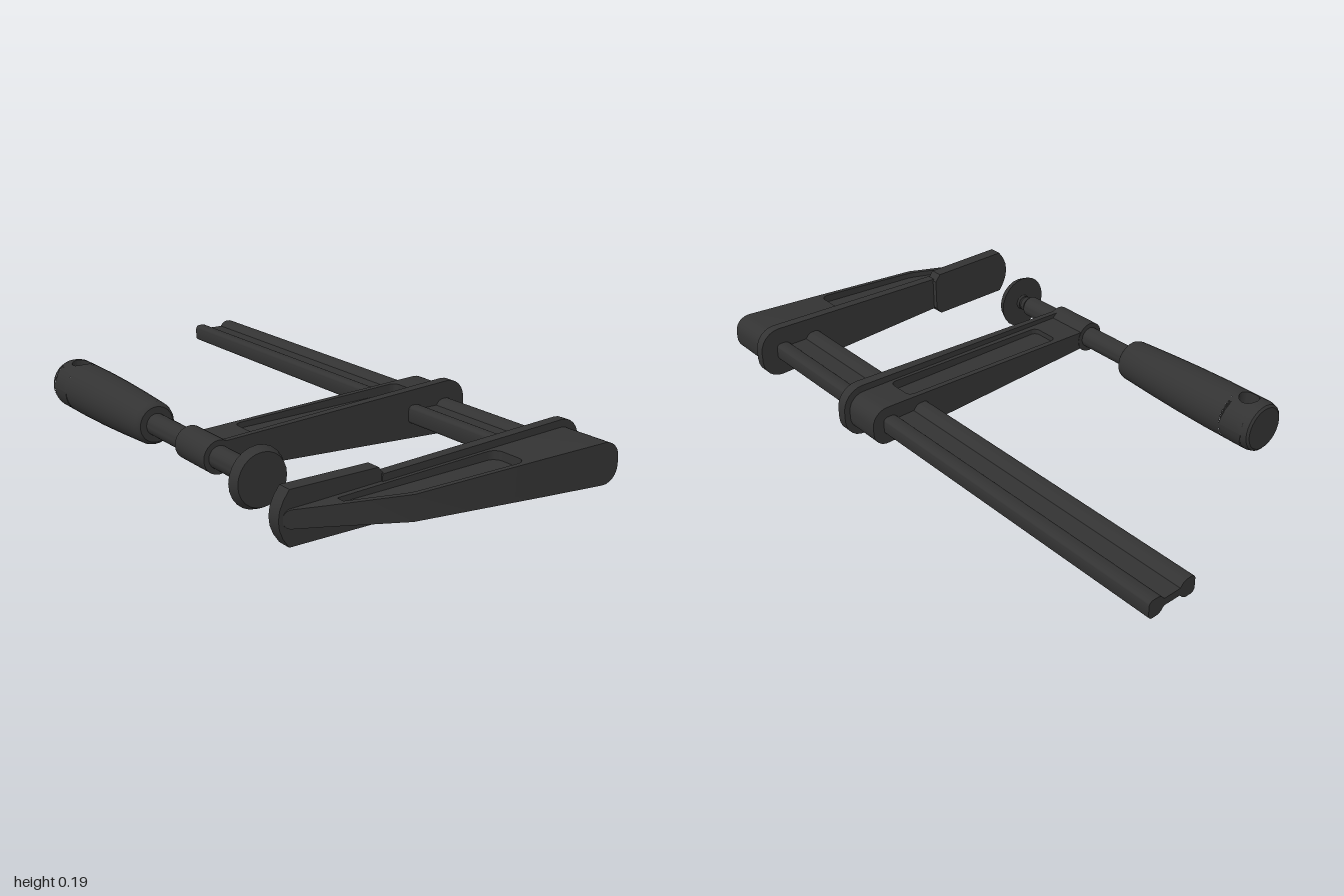
import * as THREE from 'three';
import { toCreasedNormals } from 'three/addons/utils/BufferGeometryUtils.js';
import { ParametricGeometry } from 'three/addons/geometries/ParametricGeometry.js';

const MID = 0.1;          // height of the clamp's centre plane
const SPINDLE_X = -0.41;

// Closed outline from [x, y, cornerRadius] points
function outline(pts, Type = THREE.Shape) {
  const s = new Type(), n = pts.length;
  pts.forEach((p, i) => {
    const c = new THREE.Vector2(p[0], p[1]), r = p[2] || 0;
    const toward = (q) => new THREE.Vector2(q[0], q[1]).sub(c).setLength(r).add(c);
    const a = toward(pts[(i + n - 1) % n]), b = toward(pts[(i + 1) % n]);
    if (i === 0) s.moveTo(a.x, a.y); else s.lineTo(a.x, a.y);
    if (r) {
      // nearly circular corner
      const k = 0.55;
      const a2 = a.clone().lerp(c, k), b2 = b.clone().lerp(c, k);
      s.bezierCurveTo(a2.x, a2.y, b2.x, b2.y, b.x, b.y);
    }
  });
  s.closePath();
  return s;
}

const extrude = (shape, depth) =>
  new THREE.ExtrudeGeometry(shape, { depth, bevelEnabled: false, curveSegments: 6 });

function warp(geo, rule) {
  const p = geo.attributes.position, v = new THREE.Vector3();
  for (let i = 0; i < p.count; i++) {
    rule(v.fromBufferAttribute(p, i));
    p.setXYZ(i, v.x, v.y, v.z);
  }
  return geo;
}

export function createModel() {
  const root = new THREE.Group();
  const material = new THREE.MeshStandardMaterial({ color: 0x333333 });
  const openMaterial = new THREE.MeshStandardMaterial({ color: 0x333333, side: THREE.DoubleSide });

  function add(parent, name, geo, mat = material) {
    const mesh = new THREE.Mesh(toCreasedNormals(geo, 0.6), mat);
    mesh.name = name;
    parent.add(mesh);
    return mesh;
  }
  function group(name) {
    const g = new THREE.Group();
    g.name = name;
    root.add(g);
    return g;
  }

  // Arm half height grows from the tip to the bar
  const half = (x) => 0.025 + (x + 0.53) * 0.041;

  // Slab drawn in x/z, its thickness following the arm's taper
  function taperedSlab(shape, part) {
    const g = extrude(shape, 2);
    g.translate(0, 0, -1).rotateX(Math.PI / 2);
    return warp(g, (v) => { v.y = MID + v.y * half(v.x) * part; });
  }
  // Solid drawn in x/y, running from z0 to a back line that depends on x
  function solid(pts, z0, back) {
    return warp(extrude(outline(pts), 1), (v) => {
      v.y += MID;
      v.z = z0 + v.z * (back(v.x) - z0);
    });
  }
  // Framed middle of an arm with a recessed web on both faces
  function pocketedArm(parent, outer, pocket) {
    const frame = outline(outer);
    frame.holes.push(outline(pocket, THREE.Path));
    add(parent, 'armFrame', taperedSlab(frame, 1));
    add(parent, 'armWeb', taperedSlab(outline(pocket), 0.5));
  }
  const barEnd = (x) => [
    [x, -half(x)], [0.52, -0.067, 0.055], [0.52, 0.067, 0.055], [x, half(x)],
  ];
  const flange = (x, h) => [
    [x, -h], [0.54, -0.092, 0.075], [0.54, 0.092, 0.075], [x, h],
  ];

  // Grooved guide bar
  const barPts = [
    [-0.087, -0.03, 0.015], [-0.045, -0.03, 0.012], [-0.03, -0.012], [0.03, -0.012],
    [0.045, -0.03, 0.012], [0.087, -0.03, 0.015], [0.087, 0.03, 0.015], [0.045, 0.03, 0.012],
    [0.03, 0.012], [-0.03, 0.012], [-0.045, 0.03, 0.012], [-0.087, 0.03, 0.015],
  ];
  add(root, 'guideBar', extrude(outline(barPts), 1.9).translate(0.393, MID, -1));

  // Fixed jaw
  const fixed = group('fixedJaw');
  const back = (x) => 0.94 + (x + 0.2) * (x < -0.2 ? 0.38 : 0.075);
  pocketedArm(fixed,
    [[-0.42, 0.8], [0.24, 0.8], [0.24, back(0.24)], [-0.2, 0.94], [-0.42, back(-0.42)]],
    [[-0.37, 0.832], [0.19, 0.832, 0.03], [0.19, 0.953, 0.03], [-0.195, 0.925, 0.02], [-0.37, 0.858]]);
  add(fixed, 'armBarEnd', solid(barEnd(0.24), 0.8, back));
  add(fixed, 'armTip', solid([
    [-0.42, -half(-0.42)], [-0.42, half(-0.42)], [-0.53, 0.026, 0.022], [-0.53, -0.026, 0.022],
  ], 0.8, back));
  add(fixed, 'flange', solid(flange(-0.21, 0.06), 0.787, () => 0.82));
  const padShape = new THREE.Shape();
  padShape.moveTo(-0.51, -0.08);
  padShape.lineTo(-0.22, -0.08);
  padShape.lineTo(-0.2, -0.055);
  padShape.lineTo(-0.2, 0.055);
  padShape.lineTo(-0.22, 0.08);
  padShape.lineTo(-0.51, 0.08);
  padShape.quadraticCurveTo(-0.578, 0, -0.51, -0.08);
  add(fixed, 'jawFace', extrude(padShape, 0.045).translate(0, MID, 0.77));

  // Sliding jaw
  const sliding = group('slidingJaw');
  pocketedArm(sliding,
    [[-0.41, 0.156], [0.41, 0.156], [0.41, 0.295], [-0.41, 0.305]],
    [[-0.265, 0.175, 0.02], [0.365, 0.175, 0.02], [0.365, 0.276, 0.02], [-0.265, 0.28, 0.02]]);
  add(sliding, 'armBarEnd', solid(barEnd(0.41), 0.156, () => 0.295));
  add(sliding, 'flange', warp(solid(flange(-0.41, 0.045), 0.285, () => 0.32), (v) => {
    if (v.z < 0.3 && v.x < 0) v.z = 0.302;
  }));
  const boss = new THREE.CylinderGeometry(0.053, 0.053, 0.165, 24);
  add(sliding, 'spindleBoss', boss.rotateX(Math.PI / 2).translate(SPINDLE_X, MID, 0.2375));

  // Turned parts: [radius, z] profiles around the spindle axis
  function turned(parent, name, profile, sides = 32) {
    const g = new THREE.LatheGeometry(profile.map((p) => new THREE.Vector2(...p)), sides);
    return add(parent, name, g.rotateX(Math.PI / 2).translate(SPINDLE_X, MID, 0));
  }
  const screw = group('spindle');
  turned(screw, 'spindleRod', [[0, -0.08], [0.036, -0.08], [0.036, 0.47], [0.03, 0.478], [0, 0.478]], 24);
  turned(screw, 'swivelNeck', [
    [0, 0.47], [0.022, 0.475], [0.017, 0.487], [0.026, 0.498], [0.026, 0.505], [0.02, 0.512], [0.034, 0.522], [0, 0.53],
  ], 24);
  turned(screw, 'pressurePad', [[0, 0.517], [0.095, 0.517], [0.082, 0.545], [0, 0.545]], 24);

  // Handle, with a hanging hole through its rear section
  const handle = group('handle');
  const R = 0.085, Z0 = -0.615, Z1 = -0.525, HZ = -0.57, HR = 0.033;
  turned(handle, 'grip', [
    [R, Z1], [R, -0.45], [0.082, -0.32], [0.077, -0.2], [0.07, -0.07], [0.066, -0.057], [0.058, -0.05], [0, -0.05],
  ]);
  turned(handle, 'gripEnd', [[0, -0.64], [0.072, -0.64], [0.08, -0.634], [R, Z0]]);
  // Half shell swept from the hole's rim out to the edges of the section
  const shell = (u, v, target) => {
    const a = u * Math.PI * 2, c = Math.cos(a), s = Math.sin(a);
    const m = Math.max(Math.abs(c), Math.abs(s));
    const phi = THREE.MathUtils.lerp(Math.asin(HR * c / R), c / m * Math.PI / 2, v);
    const z = THREE.MathUtils.lerp(HR * s, s / m * (Z1 - Z0) / 2, v);
    target.set(R * Math.sin(phi), R * Math.cos(phi), z);
  };
  const wall = (u, v, target) => {
    const a = u * Math.PI * 2, x = HR * Math.cos(a);
    target.set(x, (v * 2 - 1) * Math.sqrt(R * R - x * x), HR * Math.sin(a));
  };
  for (const [name, turn] of [['holeShellTop', 0], ['holeShellBottom', Math.PI]]) {
    const g = new ParametricGeometry(shell, 48, 8);
    add(handle, name, g.rotateZ(turn).translate(SPINDLE_X, MID, HZ), openMaterial);
  }
  add(handle, 'hangingHole',
    new ParametricGeometry(wall, 48, 1).translate(SPINDLE_X, MID, HZ), openMaterial);

  return root;
}
